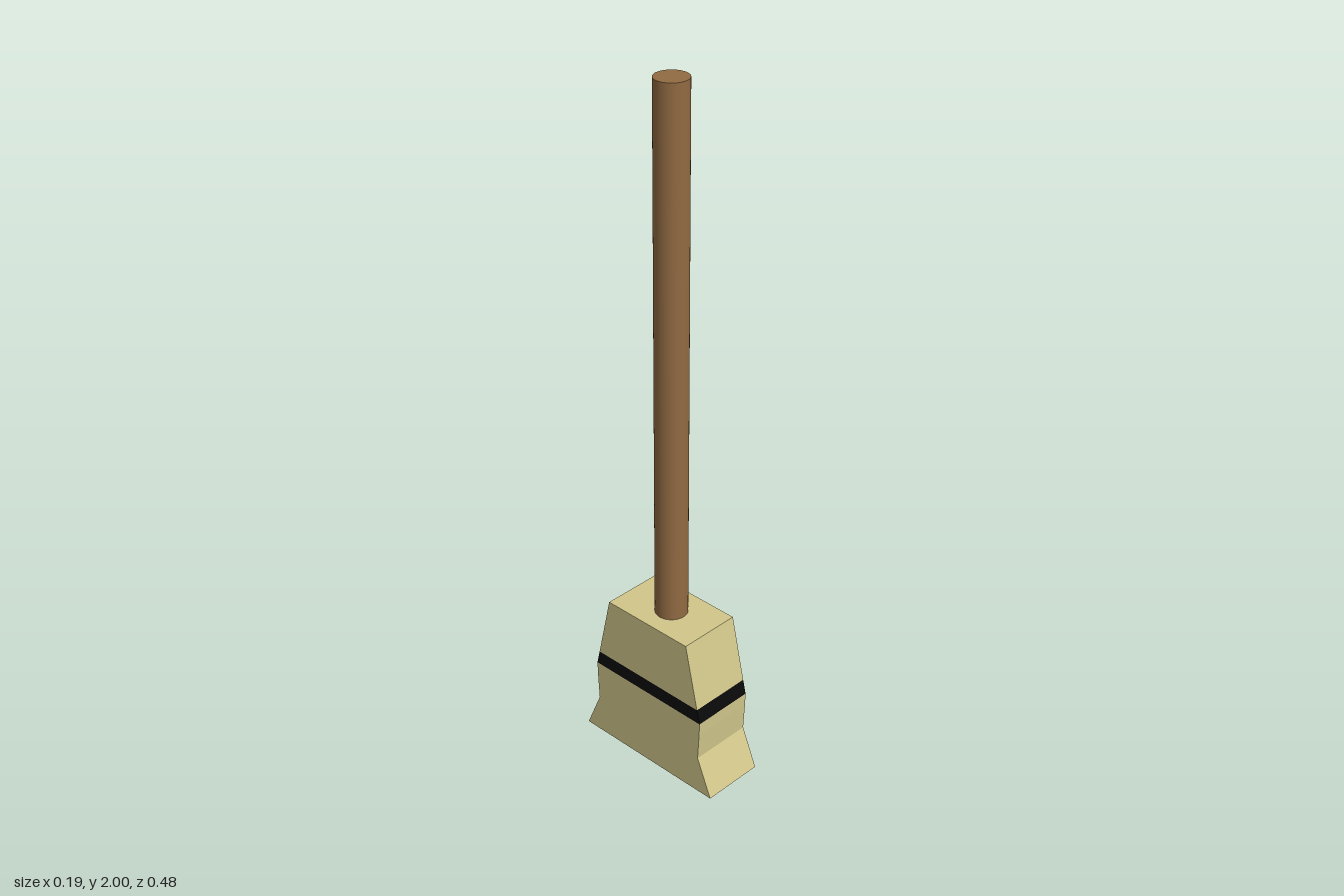
import * as THREE from 'three';

const HALF_WIDTH = 0.093;

// Slab across x whose outline is mirrored in z; profile is [halfDepth, y] from bottom to top
function slab(name, profile, material) {
  const right = profile.map(([z, y]) => new THREE.Vector2(z, y));
  const left = profile.map(([z, y]) => new THREE.Vector2(-z, y)).reverse();
  const geometry = new THREE.ExtrudeGeometry(new THREE.Shape([...right, ...left]), {
    depth: HALF_WIDTH * 2,
    bevelEnabled: false,
  });
  geometry.translate(0, 0, -HALF_WIDTH);
  geometry.rotateY(-Math.PI / 2);
  const mesh = new THREE.Mesh(geometry, material);
  mesh.name = name;
  return mesh;
}

export function createModel() {
  const group = new THREE.Group();
  group.name = 'broom';
  const straw = new THREE.MeshStandardMaterial({ color: 0xd0c68a });
  const wood = new THREE.MeshStandardMaterial({ color: 0x916a42 });
  const black = new THREE.MeshStandardMaterial({ color: 0x0a0a0a });

  // Flared bristles, binding band and tapered shoulder
  group.add(
    slab('bristles', [[0.242, 0], [0.193, 0.115], [0.198, 0.2], [0.199, 0.237]], straw),
    slab('bindingBand', [[0.199, 0.237], [0.189, 0.28]], black),
    slab('shoulder', [[0.189, 0.28], [0.146, 0.472]], straw),
  );

  // Round handle, standing on the shoulder
  const handle = new THREE.Mesh(new THREE.CylinderGeometry(0.046, 0.046, 1.53, 48), wood);
  handle.name = 'handle';
  handle.position.set(0, 0.47 + 0.765, 0.003);
  group.add(handle);

  return group;
}
